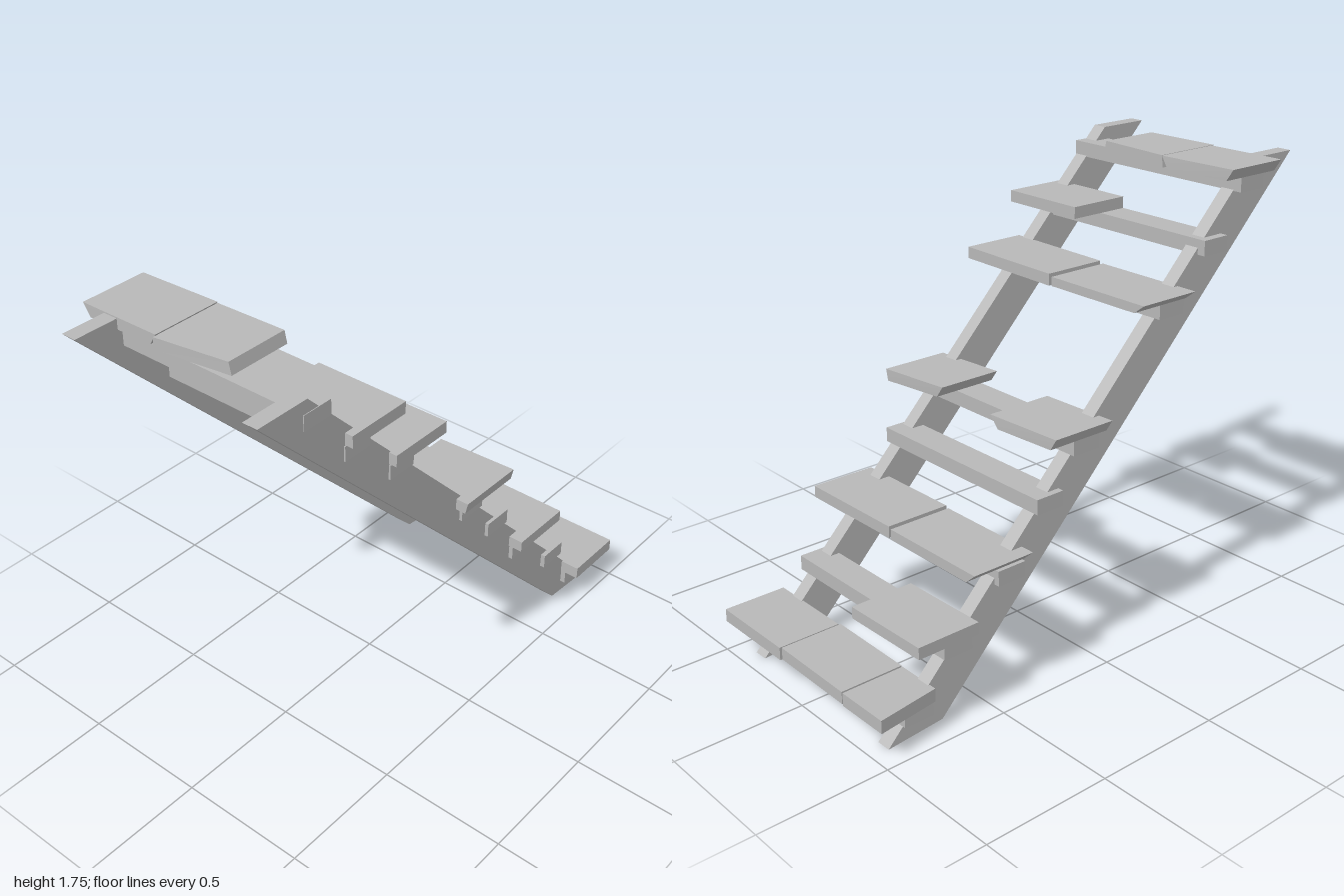
import * as THREE from 'three';

const grey = new THREE.MeshStandardMaterial({ color: 0xb8b8b8 });
grey.name = 'plain grey';

function addMesh(group, name, geometry) {
  const mesh = new THREE.Mesh(geometry, grey);
  mesh.name = name;
  group.add(mesh);
  return mesh;
}

// Sloping side beam, leaning slightly in x as it rises
function stringerGeometry(xBottom, xTop, width) {
  const shape = new THREE.Shape([
    [-1, 1.74], [0.7, 0.02], [0.93, 0], [-0.79, 1.74],
  ].map(([x, y]) => new THREE.Vector2(x, y)));
  const g = new THREE.ExtrudeGeometry(shape, { depth: width, bevelEnabled: false });
  g.rotateY(Math.PI / 2);
  const p = g.attributes.position;
  for (let i = 0; i < p.count; i++) {
    p.setX(i, p.getX(i) + THREE.MathUtils.lerp(xBottom, xTop, p.getY(i) / 1.74));
  }
  g.computeVertexNormals();
  return g;
}

// Broken tread board: a box whose ends may lean, tilt or be cut askew.
// Each two-part option gives the value at the -x end and the +x end.
function plankGeometry({ x, z, y, h = 0.045, lean = [0, 0], tilt = [0, 0], back = [0, 0], front = [0, 0], skew = 0 }) {
  const g = new THREE.BoxGeometry(1, 1, 1);
  const p = g.attributes.position;
  for (let i = 0; i < p.count; i++) {
    const e = p.getX(i) > 0 ? 1 : 0;
    const top = p.getY(i) > 0;
    const isFront = p.getZ(i) > 0;
    p.setXYZ(i,
      x[e] + (top ? 0 : lean[e]) + (isFront && e === 0 ? skew : 0),
      y + tilt[e] + (top ? h : 0),
      isFront ? z[1] + front[e] : z[0] + back[e]);
  }
  g.computeVertexNormals();
  return g;
}

export function createModel() {
  const model = new THREE.Group();
  model.name = 'brokenStairs';

  addMesh(model, 'rightStringer', stringerGeometry(-0.412, -0.395, 0.058));
  addMesh(model, 'leftStringer', stringerGeometry(0.35, 0.37, 0.058));

  // Cross bars: centre height and depth
  const bars = [
    [0.097, -0.813], [0.287, -0.64], [0.48, -0.40], [0.693, -0.225],
    [0.865, -0.057], [1.27, 0.35], [1.46, 0.57], [1.663, 0.75],
  ];
  bars.forEach(([y, z], i) => {
    addMesh(model, `crossBar${i + 1}`, new THREE.BoxGeometry(0.86, 0.057, 0.12)).position.set(0, y, z);
  });

  // Tread boards, from the lowest step up
  const planks = [
    { x: [-0.475, -0.258], z: [-1, -0.75], y: 0.125, h: 0.05, skew: 0.035 },
    { x: [-0.253, 0.11], z: [-1, -0.75], y: 0.13, tilt: [0, 0.005], h: 0.047 },
    { x: [0.125, 0.487], z: [-1, -0.75], y: 0.125, h: 0.05 },
    { x: [-0.46, -0.085], z: [-0.83, -0.575], y: 0.322, tilt: [0.004, -0.002] },
    { x: [-0.465, -0.003], z: [-0.595, -0.335], y: 0.513, h: 0.04, lean: [0.045, 0] },
    { x: [0.008, 0.472], z: [-0.595, -0.335], y: 0.513, lean: [0, 0], tilt: [0.002, -0.002] },
    { x: [-0.467, -0.143], z: [-0.245, 0.025], y: 0.896, lean: [0.028, -0.04], back: [0.01, -0.005], front: [0.005, -0.005] },
    { x: [0.155, 0.468], z: [-0.24, 0.03], y: 0.9, lean: [0.032, -0.01], tilt: [0.004, -0.004], back: [0.012, -0.01], front: [0.005, -0.005] },
    { x: [-0.485, -0.02], z: [0.15, 0.41], y: 1.3, h: 0.035, lean: [0.045, 0] },
    { x: [-0.005, 0.455], z: [0.15, 0.41], y: 1.298, h: 0.045, tilt: [0, 0.005] },
    { x: [0.095, 0.456], z: [0.37, 0.625], y: 1.49 },
    { x: [-0.492, -0.165], z: [0.56, 0.83], y: 1.7, lean: [0.03, -0.028], back: [0.01, -0.005], front: [0, -0.005] },
    { x: [-0.16, 0.128], z: [0.56, 0.84], y: 1.702, lean: [-0.005, 0.01], tilt: [-0.002, 0.006], front: [0, -0.035] },
  ];
  planks.forEach((plank, i) => addMesh(model, `treadBoard${i + 1}`, plankGeometry(plank)));

  return model;
}
